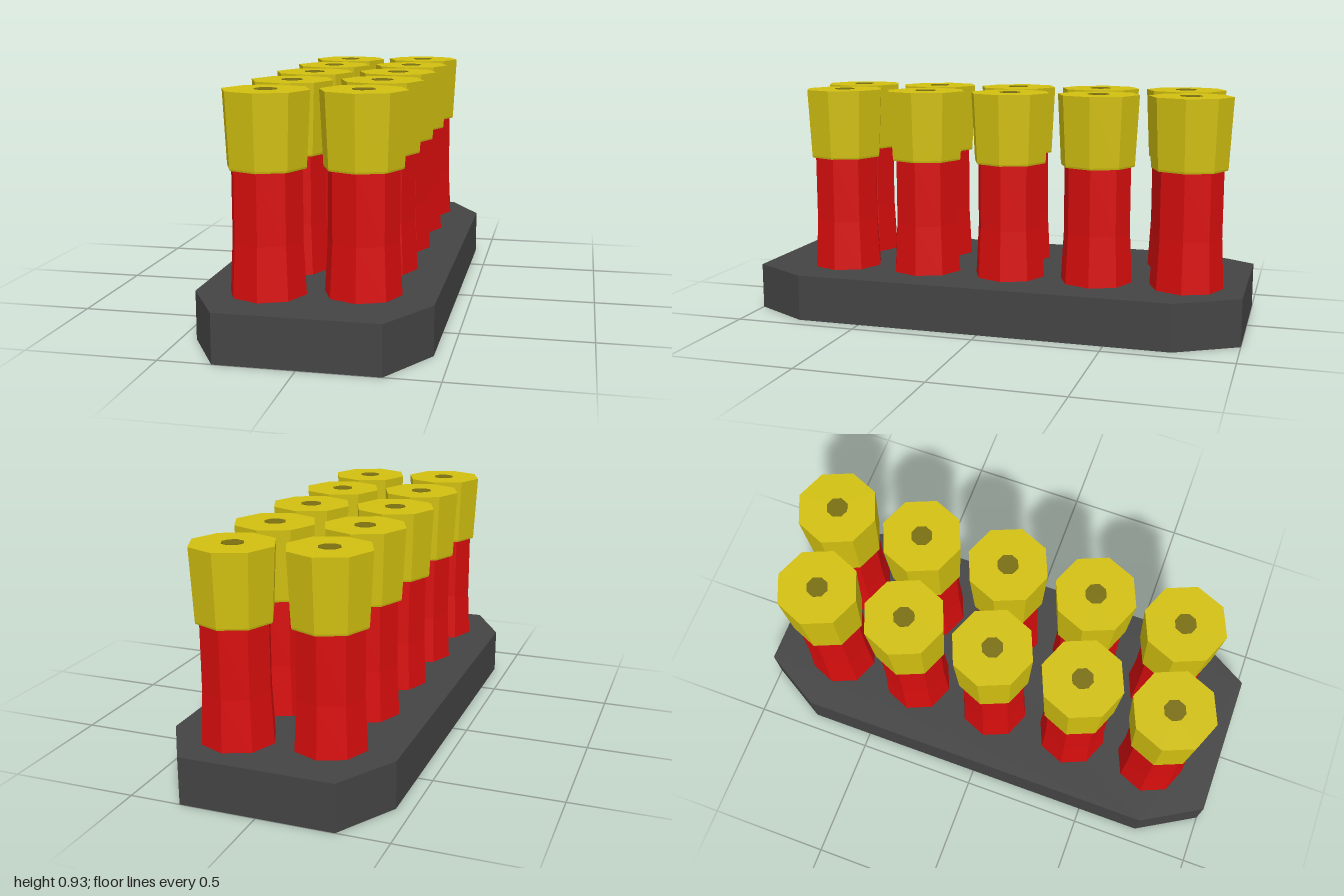
import * as THREE from 'three';

const mat = (name, color) => {
  const m = new THREE.MeshStandardMaterial({ color });
  m.name = name;
  return m;
};

// Faceted eight-sided solid of revolution with corners on the x and z axes
function octagonal(name, profile, material) {
  const points = profile.map(([r, y]) => new THREE.Vector2(r, y));
  const geometry = new THREE.LatheGeometry(points, 8).toNonIndexed();
  geometry.computeVertexNormals();
  const mesh = new THREE.Mesh(geometry, material);
  mesh.name = name;
  return mesh;
}

export function createModel() {
  const model = new THREE.Group();
  model.name = 'shellHolder';
  const charcoal = mat('charcoal', 0x444444);
  const red = mat('red', 0xd80d0d);
  const brass = mat('brass', 0xd2c010);
  const darkBrass = mat('darkBrass', 0x7a6f10);

  // Base plate with clipped corners
  const outline = new THREE.Shape([
    [0.3, -1], [0.44, -0.76], [0.44, 0.76], [0.3, 1],
    [-0.3, 1], [-0.44, 0.76], [-0.44, -0.76], [-0.3, -1],
  ].map(([x, y]) => new THREE.Vector2(x, y)));
  const plate = new THREE.ExtrudeGeometry(outline, { depth: 0.186, bevelEnabled: false });
  plate.rotateX(-Math.PI / 2);
  const base = new THREE.Mesh(plate, charcoal);
  base.name = 'basePlate';
  model.add(base);

  // Two staggered rows of five shells
  const rows = [{ x: -0.173, z: 0.005 }, { x: 0.167, z: -0.057 }];
  for (const row of rows) {
    for (let i = -2; i <= 2; i++) {
      const shell = new THREE.Group();
      shell.name = 'shell';
      shell.position.set(row.x, 0, row.z + i * 0.358);

      // Hull, slightly flared at the foot
      shell.add(octagonal('hull', [[0.144, 0.18], [0.133, 0.385], [0.133, 0.655]], red));

      // Brass head, widening to the top, with a small lip below
      shell.add(octagonal('brassHead',
        [[0, 0.648], [0.146, 0.648], [0.148, 0.655], [0.162, 0.927], [0, 0.927]], brass));

      // Primer disc
      shell.add(octagonal('primer', [[0.043, 0.926], [0.043, 0.929], [0, 0.929]], darkBrass));
      model.add(shell);
    }
  }
  return model;
}
